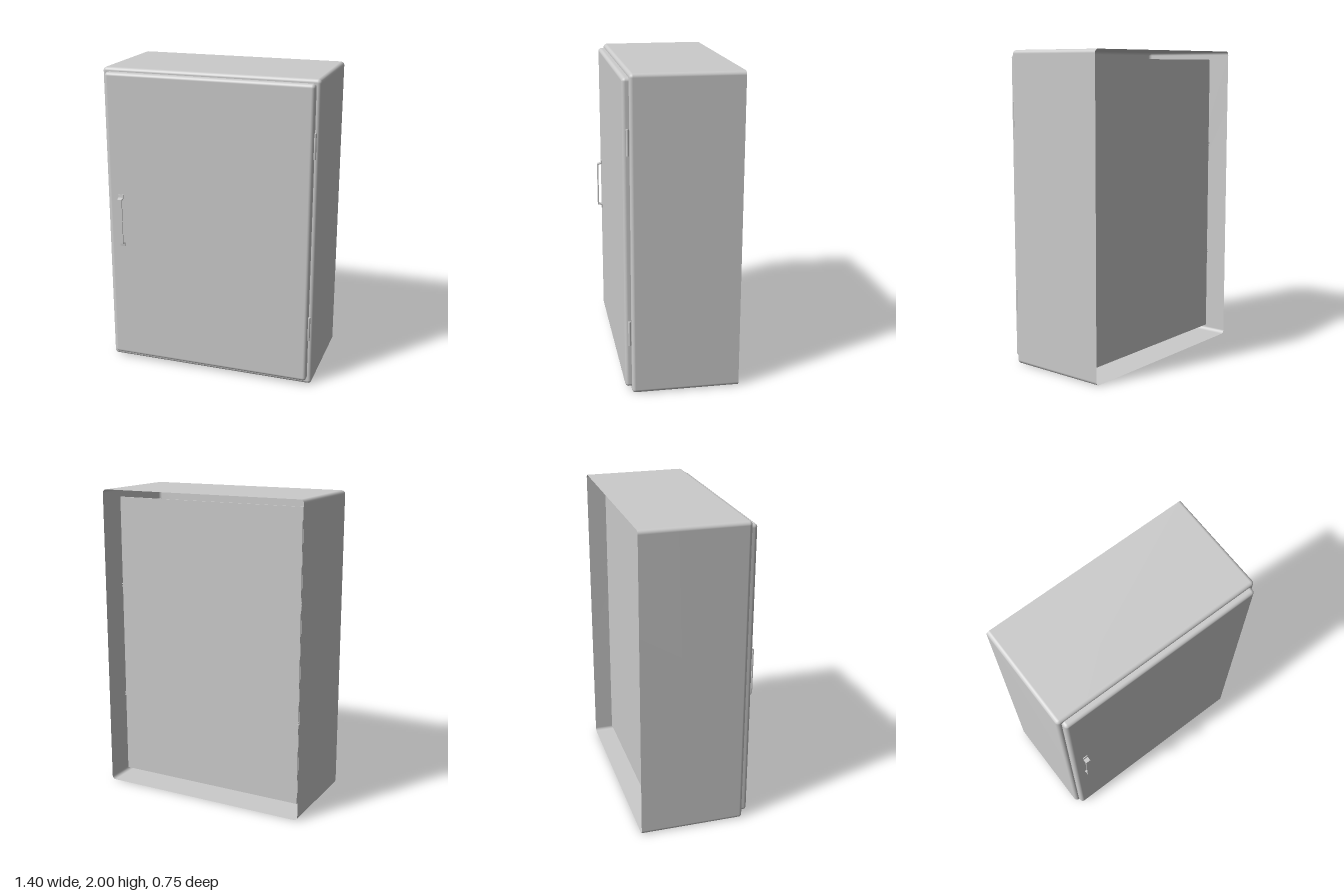
import * as THREE from 'three';

const grey = new THREE.MeshStandardMaterial({ color: 0xcccccc, side: THREE.DoubleSide });

// Rounded rectangle outline, counter-clockwise, as [x, y] pairs
function roundedLoop(hw, hh, r, steps = 6) {
  const pts = [];
  [[1, 1], [-1, 1], [-1, -1], [1, -1]].forEach(([sx, sy], q) => {
    for (let i = 0; i <= steps; i++) {
      const a = (q + i / steps) * Math.PI / 2;
      pts.push([sx * (hw - r) + r * Math.cos(a), sy * (hh - r) + r * Math.sin(a)]);
    }
  });
  return pts;
}

// Pressed-metal tray: straight walls, filleted front edge, closed front, open back
function tray(hw, hh, corner, fillet, zBack, zFront) {
  const steps = 6, rings = [[0, zBack]];
  for (let i = 0; i <= steps; i++) {
    const a = i / steps * Math.PI / 2;
    rings.push([fillet * (1 - Math.cos(a)), zFront - fillet + fillet * Math.sin(a)]);
  }
  const pos = [], idx = [];
  let n = 0;
  rings.forEach(([inset, z]) => {
    const loop = roundedLoop(hw - inset, hh - inset, Math.max(corner - inset, 0.002));
    n = loop.length;
    loop.forEach(([x, y]) => pos.push(x, y, z));
  });
  for (let k = 0; k < rings.length - 1; k++) {
    for (let j = 0; j < n; j++) {
      const a = k * n + j, b = k * n + (j + 1) % n;
      idx.push(a, b, b + n, a, b + n, a + n);
    }
  }
  const last = (rings.length - 1) * n, centre = rings.length * n;
  pos.push(0, 0, zFront);
  for (let j = 0; j < n; j++) idx.push(centre, last + j, last + (j + 1) % n);
  const g = new THREE.BufferGeometry();
  g.setAttribute('position', new THREE.Float32BufferAttribute(pos, 3));
  g.setIndex(idx);
  g.computeVertexNormals();
  return g;
}

export function createModel() {
  const model = new THREE.Group();
  const add = (name, geometry, x, y, z) => {
    const mesh = new THREE.Mesh(geometry, grey);
    mesh.name = name;
    mesh.position.set(x, y, z);
    model.add(mesh);
  };

  // Cabinet shell and the door on its front
  add('cabinetBody', tray(0.7, 1, 0.024, 0.022, -0.376, 0.302), 0, 1, 0);
  add('door', tray(0.673, 0.97, 0.022, 0.022, 0.302, 0.342), 0, 1.005, 0);

  // Mounting plate standing clear of the cabinet walls
  add('mountingPlate', new THREE.BoxGeometry(1.29, 1.89, 0.01), 0, 1, -0.256);

  // Small paired tabs on the plate's side edges
  for (const x of [-0.645, 0.645]) {
    for (const y of [0.6, 1.36]) {
      for (const dy of [-0.008, 0.008]) {
        add('plateTab', new THREE.BoxGeometry(0.016, 0.005, 0.01), x, y + dy, -0.257);
      }
    }
  }

  // Hinges on the left edge of the door
  for (const y of [0.402, 1.602]) {
    add('hingeBarrel', new THREE.CylinderGeometry(0.009, 0.009, 0.16, 20), 0.677, y, 0.313);
    add('hingeLeaf', new THREE.BoxGeometry(0.014, 0.16, 0.01), 0.671, y, 0.307);
  }

  // Strap handle: bent profile in z and y, extruded across its width
  const outer = [[0.341, 0.178], [0.347, 0.178], [0.349, 0.158], [0.375, 0.151]];
  const inner = [[0.368, 0.144], [0.341, 0.152]];
  const flip = pts => pts.map(([z, y]) => [z, -y]).reverse();
  const path = [...outer, ...flip(outer), ...flip(inner), ...inner];
  const strap = new THREE.Shape(path.map(([z, y]) => new THREE.Vector2(z, y)));
  const handle = new THREE.ExtrudeGeometry(strap, { depth: 0.033, bevelEnabled: false });
  handle.rotateY(-Math.PI / 2);
  add('handle', handle, -0.57, 1.006, 0);

  return model;
}
